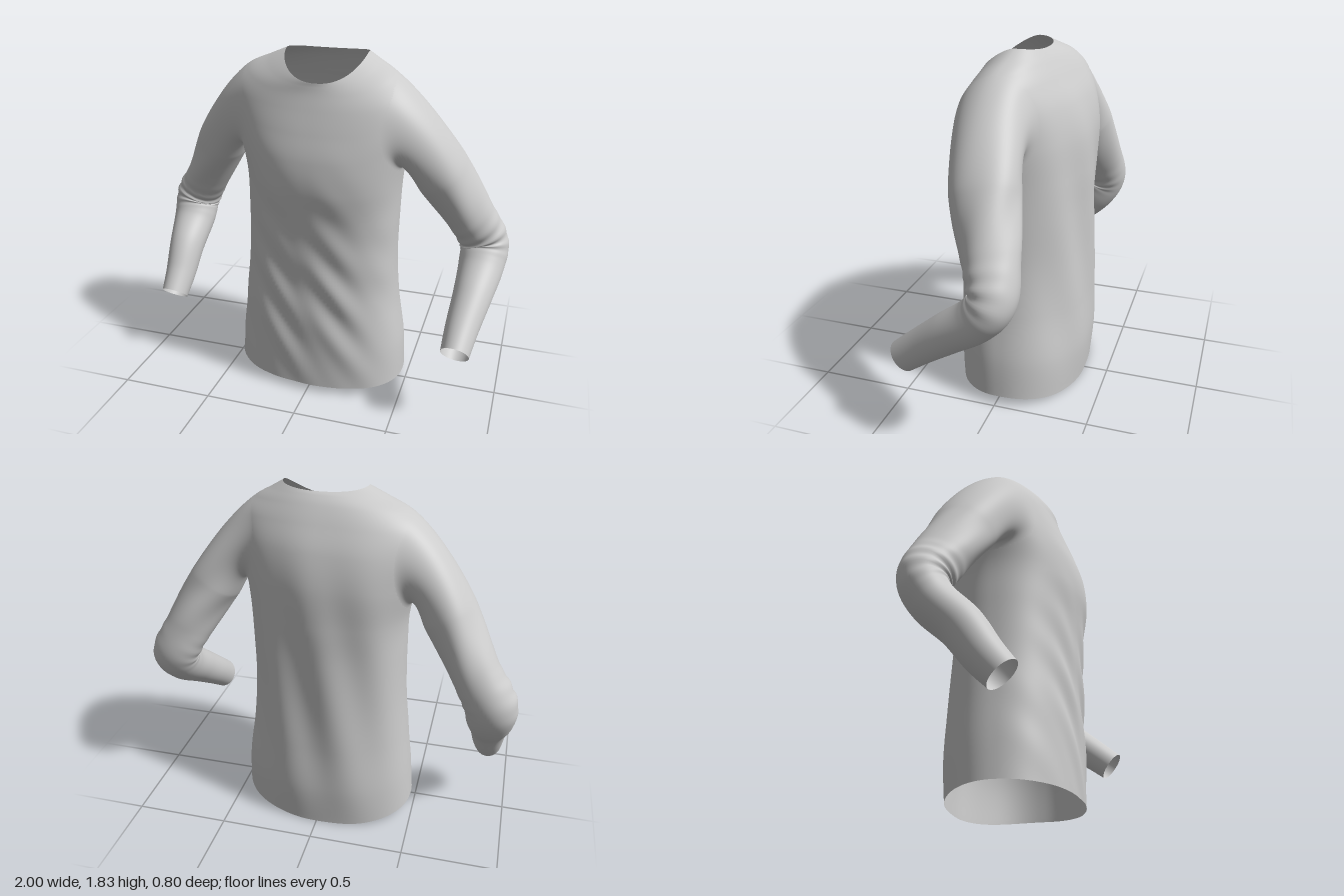
import * as THREE from 'three';

const fabric = new THREE.MeshStandardMaterial({ color: 0xcccccc, side: THREE.DoubleSide });

// Smooth (Catmull-Rom) reading of a list of key rows at t in 0..1
function sample(keys, t) {
  const n = keys.length - 1, f = Math.min(t, 1) * n, i = Math.min(Math.floor(f), n - 1), s = f - i;
  const [p, q, r, w] = [keys[Math.max(i - 1, 0)], keys[i], keys[i + 1], keys[Math.min(i + 2, n)]];
  return q.map((_, k) => {
    const m0 = (r[k] - p[k]) / 2, m1 = (w[k] - q[k]) / 2, d = r[k] - q[k];
    return q[k] + s * (m0 + s * (3 * d - 2 * m0 - m1 + s * (m0 + m1 - 2 * d)));
  });
}

// Open tube of closed rings: point(angle, t) gives a Vector3, isHole(angle, t) leaves cells out
function loft(name, point, around, along, isHole = () => false) {
  const pos = [], idx = [], angle = (i) => (i / around) * Math.PI * 2;
  for (let j = 0; j <= along; j++) {
    for (let i = 0; i < around; i++) {
      pos.push(...point(angle(i), j / along).toArray());
      if (j === along || isHole(angle(i + 0.5), (j + 0.5) / along)) continue;
      const a = j * around + i, b = j * around + (i + 1) % around;
      idx.push(a, a + around, b, b, a + around, b + around);
    }
  }
  const geo = new THREE.BufferGeometry();
  geo.setAttribute('position', new THREE.Float32BufferAttribute(pos, 3));
  geo.setIndex(idx);
  geo.computeVertexNormals();
  const mesh = new THREE.Mesh(geo, fabric);
  mesh.name = name;
  return mesh;
}

const bump = (v, centre, width) => Math.exp(-(((v - centre) / width) ** 2));
const power = (v, p) => Math.sign(v) * Math.abs(v) ** p;

// Torso rings: side y, front y, back y, right x, left x, front z, back z, yaw slope
const torsoKeys = [
  [0.05, 0.04, 0.0, -0.48, 0.48, 0.285, -0.37, 0.03],
  [0.25, 0.25, 0.22, -0.465, 0.47, 0.285, -0.385, 0.04],
  [0.50, 0.50, 0.48, -0.44, 0.435, 0.28, -0.375, 0.06],
  [0.75, 0.75, 0.75, -0.42, 0.42, 0.28, -0.365, 0.09],
  [1.00, 1.00, 1.00, -0.415, 0.425, 0.29, -0.36, 0.11],
  [1.20, 1.18, 1.20, -0.42, 0.435, 0.31, -0.36, 0.13],
  [1.38, 1.33, 1.40, -0.46, 0.46, 0.295, -0.35, 0.14],
  [1.54, 1.46, 1.56, -0.50, 0.49, 0.255, -0.31, 0.14],
  [1.655, 1.57, 1.68, -0.50, 0.48, 0.215, -0.25, 0.13],
  [1.735, 1.64, 1.76, -0.41, 0.39, 0.19, -0.2, 0.10],
  [1.79, 1.68, 1.80, -0.285, 0.30, 0.18, -0.165, 0.05],
  [1.83, 1.70, 1.815, -0.19, 0.235, 0.178, -0.145, 0.0],
];

function torsoPoint(a, t) {
  const [ys, yf, yb, xr, xl, zf, zb, yaw] = sample(torsoKeys, t);
  const c = power(Math.cos(a), 0.88), s = power(Math.sin(a), 0.88);
  const zc = -0.03, mid = (xl + xr) / 2;
  const y = s > 0 ? ys + (yf - ys) * s ** 1.5 : ys + (yb - ys) * s * s;
  const half = (c * (xl - xr)) / 2, x0 = mid + half;
  // Diagonal drape folds below the chest, long soft folds down the back
  const low = bump(y, 0.55, 0.42);
  const fold = s > 0
    ? 0.008 * low * Math.sin(19 * x0 + 15 * y + 5 * y * y) + 0.004 * low * Math.sin(37 * x0 + 24 * y)
    : 0.011 * bump(y, 0.85, 0.6) * Math.sin(20 * x0 - 4 * y);
  const x = mid + half * (1 + fold * Math.abs(s));
  const z = zc + (s > 0 ? zf - zc : zc - zb) * s * (1 + fold * 3 * Math.abs(s)) + yaw * x;
  return new THREE.Vector3(x, y, z);
}

// Armhole: an oval in the torso's own angle and height coordinates
const hole = { t: 0.65, halfT: 0.168, halfAngle: 0.8 };
function isArmhole(a, t) {
  const off = Math.min(a, Math.abs(a - Math.PI), Math.PI * 2 - a);
  return Math.hypot(off / hole.halfAngle, (t - hole.t) / hole.halfT) < 0.96;
}

// Sleeve rings: centre x, y, z, half width across, half depth
const leftKeys = [
  [0.45, 1.50, 0.02, 0.165, 0.19],
  [0.55, 1.37, 0.005, 0.15, 0.19],
  [0.663, 1.20, -0.04, 0.133, 0.165],
  [0.775, 1.01, -0.10, 0.125, 0.14],
  [0.858, 0.85, -0.135, 0.127, 0.115],
  [0.86, 0.74, -0.06, 0.118, 0.108],
  [0.84, 0.63, 0.09, 0.1, 0.1],
  [0.815, 0.52, 0.235, 0.085, 0.09],
  [0.80, 0.43, 0.35, 0.073, 0.083],
];
const rightKeys = [
  [-0.46, 1.51, -0.11, 0.165, 0.18],
  [-0.555, 1.39, -0.14, 0.15, 0.18],
  [-0.665, 1.21, -0.19, 0.133, 0.16],
  [-0.78, 1.01, -0.25, 0.125, 0.14],
  [-0.867, 0.86, -0.277, 0.13, 0.118],
  [-0.875, 0.74, -0.22, 0.122, 0.11],
  [-0.873, 0.61, -0.09, 0.1, 0.105],
  [-0.875, 0.47, 0.01, 0.085, 0.095],
  [-0.88, 0.37, 0.095, 0.073, 0.083],
];

function tubePoint(keys, a, t, phase) {
  const [x, y, z, w, d] = sample(keys, t);
  const p = sample(keys, Math.max(t - 0.04, 0)), q = sample(keys, Math.min(t + 0.04, 1));
  const T = new THREE.Vector3(q[0] - p[0], q[1] - p[1], q[2] - p[2]).normalize();
  const U = new THREE.Vector3(1, 0, 0).addScaledVector(T, -T.x).normalize();
  const W = new THREE.Vector3().crossVectors(U, T);
  // Bunched creases inside the elbow, slanting folds along the upper arm
  const k = 1 + 0.025 * (1 - Math.sin(a)) * bump(t, 0.48, 0.07) * Math.sin(120 * t + 2 * Math.cos(a))
    + 0.03 * bump(t, 0.28, 0.15) * Math.sin(4 * a + 22 * t + phase);
  return new THREE.Vector3(x, y, z)
    .addScaledVector(U, Math.cos(a) * w * k)
    .addScaledVector(W, Math.sin(a) * d * k);
}

// The sleeve leaves the armhole along the torso surface and eases into a tube
function sleevePoint(keys, side, phase) {
  const reach = 0.22;
  return (a, t) => {
    const u = Math.min(t / reach, 1), up = side * Math.cos(a);
    const tube = tubePoint(keys, a, t + 0.07 * (1 - u) * (1 - up), phase);
    if (u === 1) return tube;
    const r = 1 - 0.45 * u;
    const angle = (side > 0 ? 0 : Math.PI) - side * r * hole.halfAngle * Math.sin(a);
    return torsoPoint(angle, hole.t + r * hole.halfT * up).lerp(tube, u * u * (3 - 2 * u));
  };
}

export function createModel() {
  const shirt = new THREE.Group();
  shirt.name = 'longSleeveShirt';
  shirt.add(
    loft('torso', torsoPoint, 160, 140, isArmhole),
    loft('leftSleeve', sleevePoint(leftKeys, 1, 0), 64, 120),
    loft('rightSleeve', sleevePoint(rightKeys, -1, 2), 64, 120),
  );
  return shirt;
}
